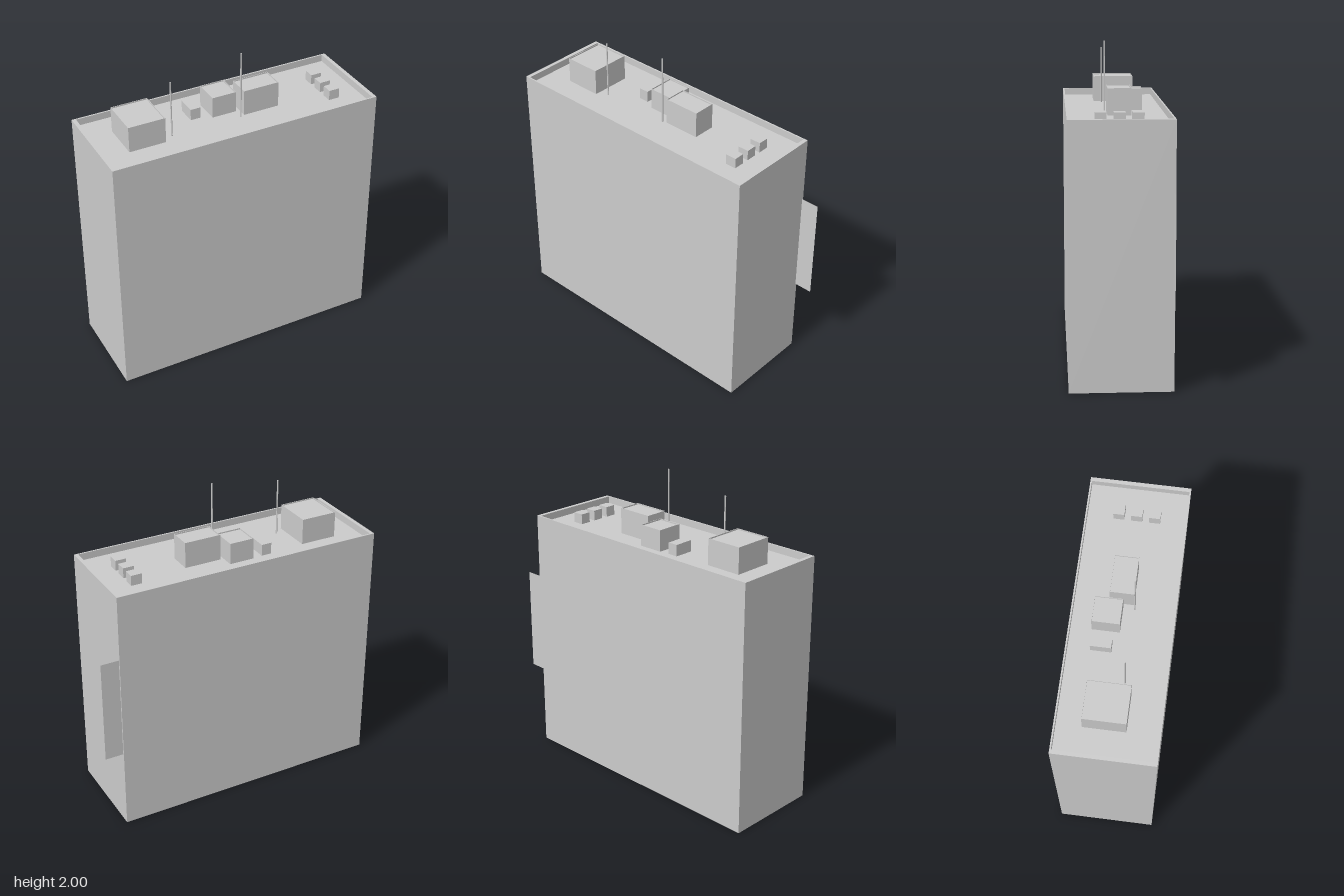
import * as THREE from 'three';

const material = new THREE.MeshStandardMaterial({ color: 0xcccccc, flatShading: true });
const sheetMaterial = new THREE.MeshStandardMaterial({ color: 0xcccccc, side: THREE.DoubleSide });

const ROOF = 1.565; // height of the sunken roof floor

// Box whose top is a sunken floor inside a thin rim, built from four rectangular rings
function rimmedBox(w, h, d, rimX, rimZ, sink) {
  const rings = [[0, 0, 0], [0, 0, h], [rimX, rimZ, h], [rimX, rimZ, h - sink]];
  const positions = [];
  for (const [ix, iz, y] of rings) {
    const x = w / 2 - ix, z = d / 2 - iz;
    positions.push(-x, y, z, x, y, z, x, y, -z, -x, y, -z);
  }
  const index = [0, 2, 1, 0, 3, 2, 12, 13, 14, 12, 14, 15]; // underside and floor
  for (let r = 0; r < 3; r++) {
    for (let i = 0; i < 4; i++) {
      const a = r * 4 + i, b = r * 4 + (i + 1) % 4;
      index.push(a, b, b + 4, a, b + 4, a + 4);
    }
  }
  const indexed = new THREE.BufferGeometry();
  indexed.setAttribute('position', new THREE.Float32BufferAttribute(positions, 3));
  indexed.setIndex(index);
  const geometry = indexed.toNonIndexed();
  geometry.computeVertexNormals();
  return geometry;
}

export function createModel() {
  const model = new THREE.Group();
  model.name = 'building';

  const add = (name, geometry, x, y, z, mat = material) => {
    const mesh = new THREE.Mesh(geometry, mat);
    mesh.name = name;
    mesh.position.set(x, y, z);
    model.add(mesh);
  };

  // Main block with parapet
  add('mainBlock', rimmedBox(1.76, 1.61, 0.62, 0.025, 0.01, 1.61 - ROOF), -0.06, 0, 0);

  // Large roof housings with a fine lip: x range, z range, top
  const housings = [
    ['stairHousing', -0.75, -0.515, -0.148, 0.11, 1.73],
    ['ventHousing', -0.15, 0.01, -0.174, -0.006, 1.70],
    ['liftHousing', 0.033, 0.27, -0.09, 0.055, 1.73],
  ];
  for (const [name, x0, x1, z0, z1, top] of housings) {
    add(name, rimmedBox(x1 - x0, top - ROOF, z1 - z0, 0.003, 0.003, 0.008),
      (x0 + x1) / 2, ROOF, (z0 + z1) / 2);
  }

  // Small roof units
  const unit = (name, w, top, d, x, z) =>
    add(name, new THREE.BoxGeometry(w, top - ROOF, d), x, (top + ROOF) / 2, z);
  unit('roofVent', 0.066, 1.637, 0.125, -0.247, -0.103);
  [-0.107, 0.002, 0.112].forEach((z, i) => unit(`coolingUnit${i + 1}`, 0.07, 1.63, 0.068, 0.616, z));

  // Antennas
  const antenna = (name, x, top) =>
    add(name, new THREE.CylinderGeometry(0.005, 0.005, top - ROOF, 8), x, (top + ROOF) / 2, 0.063);
  antenna('shortAntenna', -0.455, 1.927);
  antenna('tallAntenna', 0.007, 2);

  // Thin sign projecting from the side wall
  add('sideSign', new THREE.PlaneGeometry(0.117, 0.67), 0.8785, 0.855, -0.3, sheetMaterial);

  return model;
}
